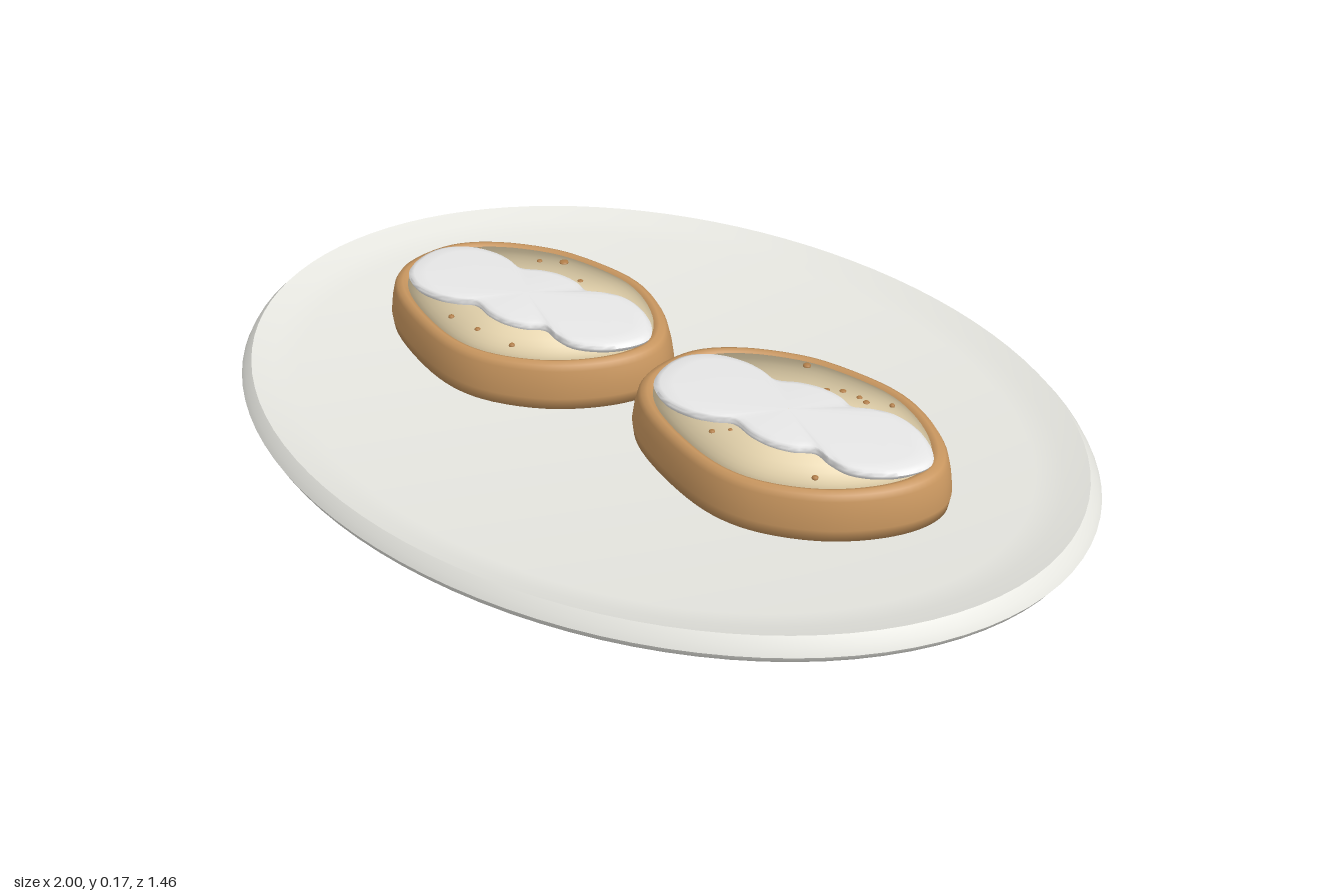
import * as THREE from 'three';
import { toCreasedNormals } from 'three/addons/utils/BufferGeometryUtils.js';

const material = (name, color) => {
  const m = new THREE.MeshStandardMaterial({ color });
  m.name = name;
  return m;
};

// Closed smooth outline through [x, z] points.
function smoothOutline(points, count) {
  const curve = new THREE.CatmullRomCurve3(points.map(([x, z]) => new THREE.Vector3(x, 0, z)), true);
  return curve.getPoints(count).slice(0, count).map((p) => [p.x, p.z]);
}

// Skin an outline through rings given as [scale, y], from bottom to top.
function loft(outline, rings) {
  const n = outline.length;
  const positions = [];
  const index = [];
  rings.forEach(([s, y], i) => {
    outline.forEach(([x, z], j) => {
      positions.push(x * s, y, z * s);
      if (i === rings.length - 1) return;
      const a = i * n + j;
      const b = i * n + ((j + 1) % n);
      index.push(a, a + n, b, b, a + n, b + n);
    });
  });
  const geo = new THREE.BufferGeometry();
  geo.setAttribute('position', new THREE.Float32BufferAttribute(positions, 3));
  geo.setIndex(index);
  geo.computeVertexNormals();
  return geo;
}

export function createModel() {
  const root = new THREE.Group();
  root.name = 'stuffedPotatoPlate';

  const china = material('china', 0xe6e6e0);
  const skin = material('potatoSkin', 0xc8965f);
  const flesh = material('potatoFlesh', 0xeedcb4);
  const cream = material('cream', 0xf8f8f8);
  const crumb = material('crumb', 0xb07d48);

  const add = (parent, name, geo, mat) => {
    const mesh = new THREE.Mesh(geo, mat);
    mesh.name = name;
    parent.add(mesh);
    return mesh;
  };

  // Oval plate with a bevelled edge and a shallow recess
  const oval = Array.from({ length: 96 }, (_, i) => {
    const a = (i / 96) * Math.PI * 2;
    return [Math.cos(a), 0.73 * Math.sin(a)];
  });
  const plateRings = [
    [0.001, 0], [0.965, 0], [0.99, 0.018], [1, 0.035], [0.99, 0.052],
    [0.972, 0.07], [0.92, 0.054], [0.86, 0.041], [0.001, 0.041],
  ];
  add(root, 'plate', toCreasedNormals(loft(oval, plateRings), 0.6), china);

  // Potato half: skin shell with a rounded rim
  const potatoOutline = smoothOutline([
    [-0.355, 0], [-0.32, -0.115], [-0.24, -0.185], [-0.1, -0.237], [0, -0.246],
    [0.16, -0.225], [0.26, -0.17], [0.335, -0.09], [0.36, -0.02], [0.345, 0.045],
    [0.29, 0.12], [0.19, 0.195], [0.06, 0.24], [-0.04, 0.24], [-0.16, 0.2],
    [-0.29, 0.125], [-0.34, 0.065],
  ], 80);
  const skinGeo = loft(potatoOutline, [
    [0.001, 0.042], [0.99, 0.042], [1, 0.07], [0.985, 0.105], [0.963, 0.135],
    [0.94, 0.147], [0.9, 0.152], [0.87, 0.149], [0.845, 0.14],
  ]);

  // Flesh: rounded mound pressed nearly flat, keeping its full soft shading
  const moundRings = Array.from({ length: 11 }, (_, i) => {
    const a = (i / 10) * Math.PI / 2;
    return [Math.max(0.001, 0.865 * Math.cos(a)), 0.2 * Math.sin(a)];
  });
  const fleshGeo = loft(potatoOutline, moundRings);
  fleshGeo.attributes.position.applyMatrix4(
    new THREE.Matrix4().makeTranslation(0, 0.146, 0).scale(new THREE.Vector3(1, 0.06, 1)));

  // Cream: three joined scallops with a soft edge
  const halfCream = [
    [-0.29, 0.06], [-0.24, 0.1], [-0.17, 0.11], [-0.12, 0.1], [-0.08, 0.085],
    [-0.03, 0.104], [0.02, 0.112], [0.07, 0.104], [0.11, 0.085], [0.15, 0.1],
    [0.2, 0.108], [0.26, 0.085], [0.305, 0.045],
  ];
  const creamOutline = smoothOutline([
    [-0.305, 0], ...halfCream.map(([x, z]) => [x, -z]), [0.325, 0], ...halfCream.slice().reverse(),
  ], 112);
  const creamGeo = toCreasedNormals(loft(creamOutline, [
    [0.96, 0.148], [0.99, 0.156], [1, 0.162], [0.985, 0.168], [0.95, 0.172], [0.85, 0.174], [0.001, 0.175],
  ]), 0.9);

  // Crumbs scattered on the flesh: [x, z, radius]
  const crumbGeo = new THREE.SphereGeometry(1, 10, 8);
  const potatoes = [
    ['rightPotato', -0.357, -0.035, [
      [-0.38, -0.215, 0.011], [-0.43, -0.188, 0.007], [-0.3, -0.165, 0.008], [-0.58, -0.155, 0.006],
      [-0.28, 0.13, 0.007], [-0.38, 0.12, 0.007], [-0.46, 0.11, 0.007],
    ]],
    ['leftPotato', 0.357, 0.042, [
      [0.3, -0.145, 0.009], [0.38, -0.085, 0.008], [0.41, -0.1, 0.008], [0.45, -0.098, 0.007],
      [0.47, -0.09, 0.008], [0.52, -0.11, 0.006], [0.25, 0.168, 0.007], [0.5, 0.19, 0.007], [0.28, 0.145, 0.006],
    ]],
  ];
  potatoes.forEach(([name, x, z, crumbs]) => {
    const potato = new THREE.Group();
    potato.name = name;
    potato.position.set(x, 0, z);
    root.add(potato);
    add(potato, 'skin', skinGeo, skin);
    add(potato, 'flesh', fleshGeo, flesh);
    add(potato, 'cream', creamGeo, cream);
    crumbs.forEach(([cx, cz, r]) => {
      const bit = add(potato, 'crumb', crumbGeo, crumb);
      bit.position.set(cx - x, 0.153, cz - z);
      bit.scale.set(r, 0.005, r);
    });
  });

  return root;
}
